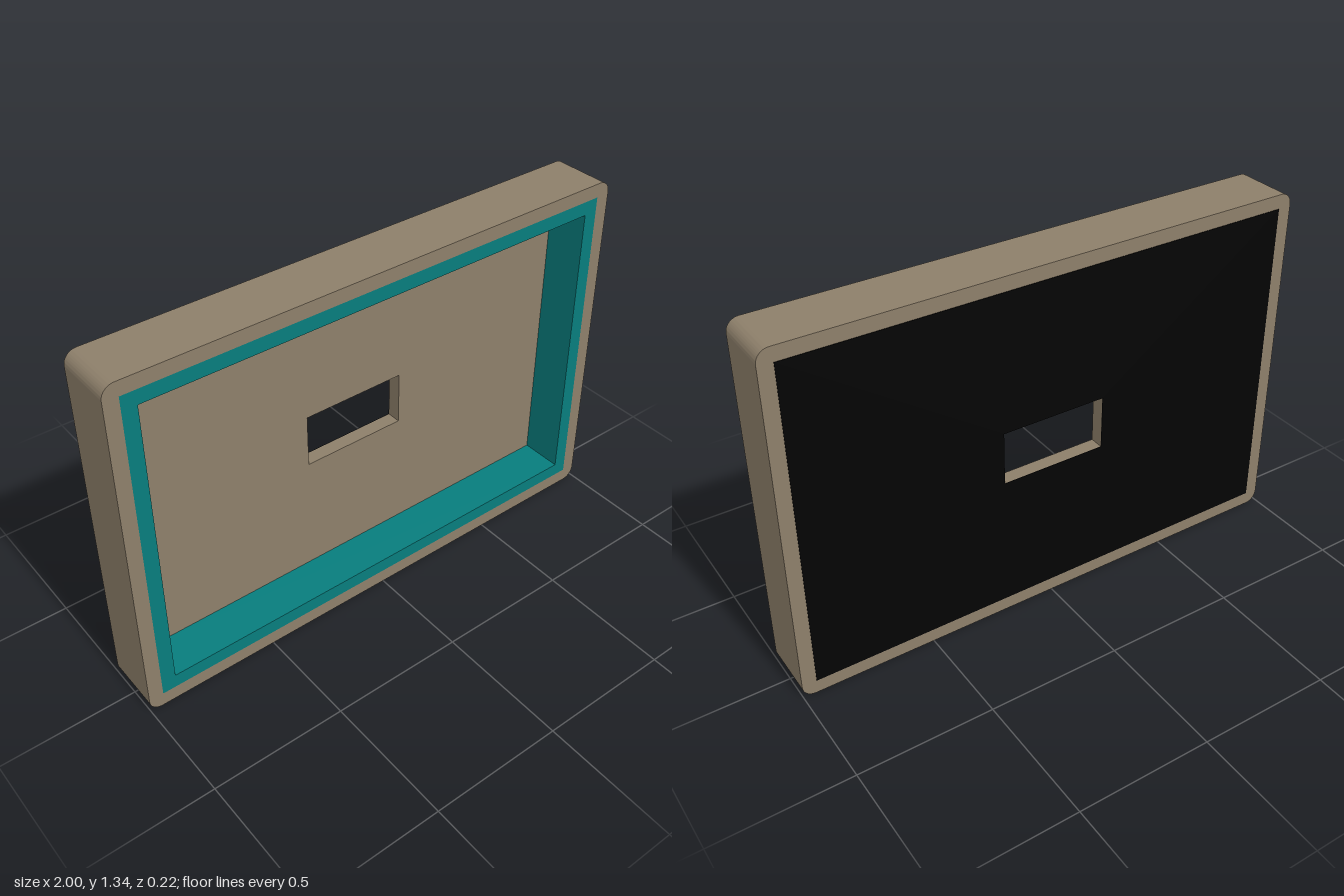
import * as THREE from 'three';
import { toCreasedNormals } from 'three/addons/utils/BufferGeometryUtils.js';

const W = 2, H = 1.34, D = 0.216;   // overall size
const T = 0.053;                    // thickness of rim, liner and panel
const R = 0.046;                    // corner radius

function rect(target, x0, y0, x1, y1) {
  target.moveTo(x0, y0);
  target.lineTo(x1, y0);
  target.lineTo(x1, y1);
  target.lineTo(x0, y1);
  target.closePath();
  return target;
}

function extrude(shape, depth, z) {
  const geo = new THREE.ExtrudeGeometry(shape, { depth, bevelEnabled: false, curveSegments: 10 });
  return toCreasedNormals(geo.translate(0, 0, z), 0.6);
}

export function createModel() {
  const model = new THREE.Group();
  const brown = new THREE.MeshStandardMaterial({ color: 0x8d7f6a });
  const teal = new THREE.MeshStandardMaterial({ color: 0x077d7d });
  const black = new THREE.MeshStandardMaterial({ color: 0x040404 });
  brown.name = 'taupe';
  teal.name = 'teal';
  black.name = 'black';

  const add = (name, geo, mat) => {
    const mesh = new THREE.Mesh(geo, mat);
    mesh.name = name;
    model.add(mesh);
    return mesh;
  };

  // Top and bottom rails, with the two outer corners rounded
  const rail = new THREE.Shape();
  rail.moveTo(-W / 2, 0);
  rail.lineTo(W / 2, 0);
  rail.lineTo(W / 2, T - R);
  rail.absarc(W / 2 - R, T - R, R, 0, Math.PI / 2, false);
  rail.lineTo(-W / 2 + R, T);
  rail.absarc(-W / 2 + R, T - R, R, Math.PI / 2, Math.PI, false);
  rail.closePath();
  const railGeo = extrude(rail, D, -D / 2);
  add('topRail', railGeo, brown).position.y = H - T;
  const bottom = add('bottomRail', railGeo, brown);
  bottom.position.y = T;
  bottom.rotation.z = Math.PI;

  // Side rails between them
  for (const side of [-1, 1]) {
    const post = add(side > 0 ? 'leftRail' : 'rightRail', new THREE.BoxGeometry(T, H - 2 * T, D), brown);
    post.position.set(side * (W - T) / 2, H / 2, 0);
  }

  // Plate with the off-centre rectangular opening
  const plate = () => {
    const shape = rect(new THREE.Shape(), -W / 2 + T, T, W / 2 - T, H - T);
    shape.holes.push(rect(new THREE.Path(), -0.206, 0.563, 0.196, 0.766));
    return shape;
  };
  add('backPanel', extrude(plate(), T, -D / 2), brown);

  // Dark sheet over the back of the panel
  add('backSheet', extrude(plate(), 0.002, -D / 2 - 0.002), black);

  // Liner ring inside the rim
  const ring = rect(new THREE.Shape(), -W / 2 + T, T, W / 2 - T, H - T);
  ring.holes.push(rect(new THREE.Path(), -W / 2 + 2 * T, 2 * T, W / 2 - 2 * T, H - 2 * T));
  add('liner', extrude(ring, D - T, -D / 2 + T), teal);

  return model;
}
